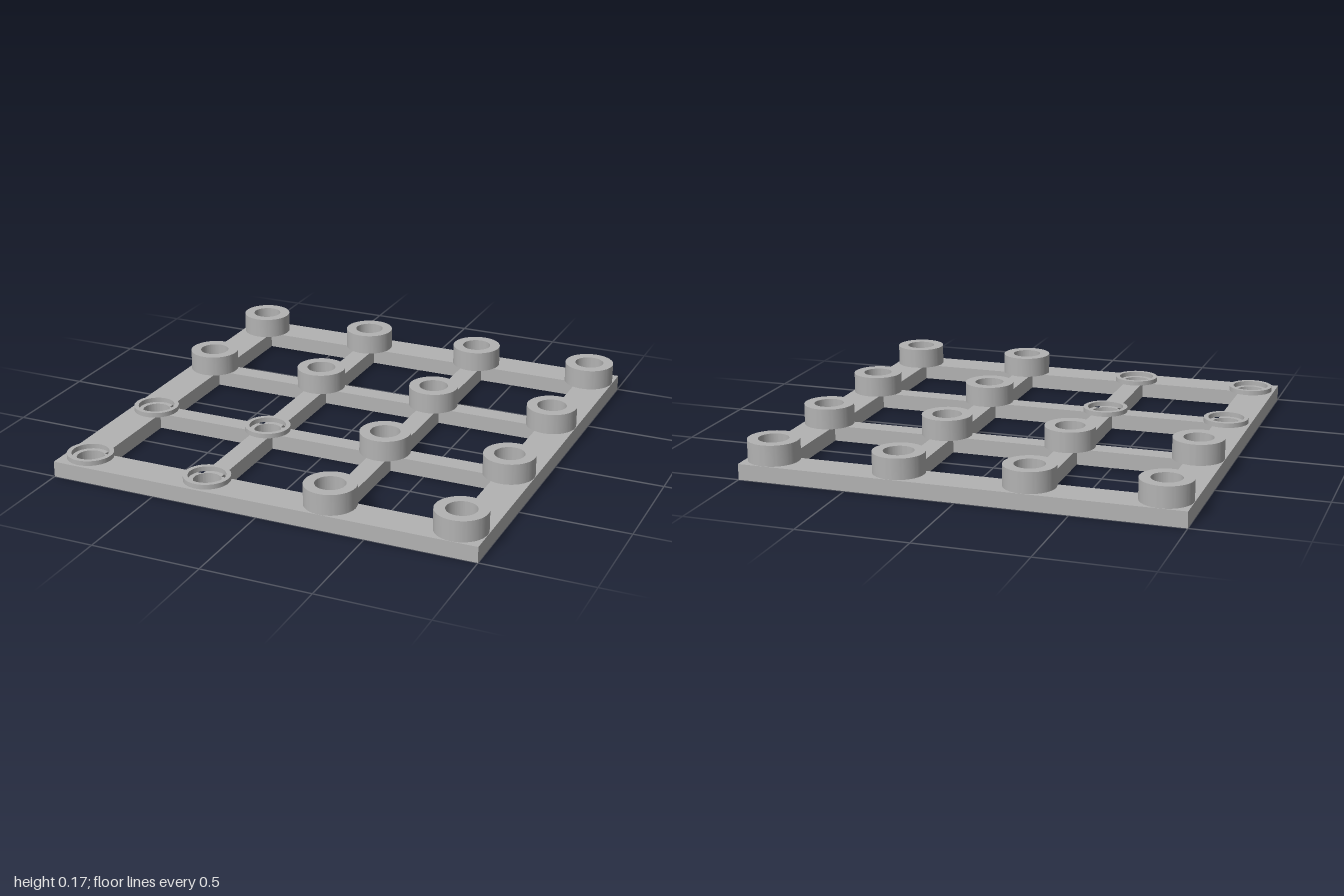
import * as THREE from 'three';
import { toCreasedNormals } from 'three/addons/utils/BufferGeometryUtils.js';

const PLATE_H = 0.072, BOSS_TOP = 0.167, LOW_TOP = 0.094;
const HOLE_R = 0.062;
const NODES = [-0.882, -0.294, 0.294, 0.882];
// start and end of the three openings along either axis
const OPENINGS = [[-0.836, -0.339], [-0.249, 0.249], [0.339, 0.836]];

// extrude a ground-plan shape upwards with smooth round walls and sharp edges
function extrudeUp(shape, height) {
  const geo = new THREE.ExtrudeGeometry(shape, { depth: height, bevelEnabled: false, curveSegments: 48 });
  geo.rotateX(-Math.PI / 2);
  return toCreasedNormals(geo, Math.PI / 6);
}

function circle(PathType, x, y, r) {
  return new PathType().absarc(x, y, r, 0, Math.PI * 2, false);
}

function ring(outer, inner, height) {
  const shape = circle(THREE.Shape, 0, 0, outer);
  shape.holes.push(circle(THREE.Path, 0, 0, inner));
  return extrudeUp(shape, height);
}

function rectPoints(x0, y0, x1, y1) {
  return [[x0, y0], [x1, y0], [x1, y1], [x0, y1]].map(([x, y]) => new THREE.Vector2(x, y));
}

export function createModel() {
  const group = new THREE.Group();
  group.name = 'gridPlate';
  const grey = new THREE.MeshStandardMaterial({ color: 0xb3b3b3 });
  grey.name = 'grey';

  // lattice with nine square openings and a hole at every crossing
  const plan = new THREE.Shape(rectPoints(-1, -1, 1, 1));
  for (const [x0, x1] of OPENINGS)
    for (const [y0, y1] of OPENINGS) plan.holes.push(new THREE.Path(rectPoints(x0, y0, x1, y1)));
  for (const x of NODES) for (const y of NODES) plan.holes.push(circle(THREE.Path, x, y, HOLE_R));
  const lattice = new THREE.Mesh(extrudeUp(plan, PLATE_H), grey);
  lattice.name = 'lattice';
  group.add(lattice);

  // tall bosses everywhere except the front right quarter, which has low rims
  const bossGeo = ring(0.116, 0.068, BOSS_TOP - PLATE_H);
  const rimGeo = ring(0.105, 0.084, LOW_TOP - PLATE_H);
  for (const x of NODES) {
    for (const z of NODES) {
      const low = x < 0 && z > 0;
      const part = new THREE.Mesh(low ? rimGeo : bossGeo, grey);
      part.name = low ? 'lowRim' : 'boss';
      part.position.set(x, PLATE_H, z);
      group.add(part);
    }
  }
  return group;
}
